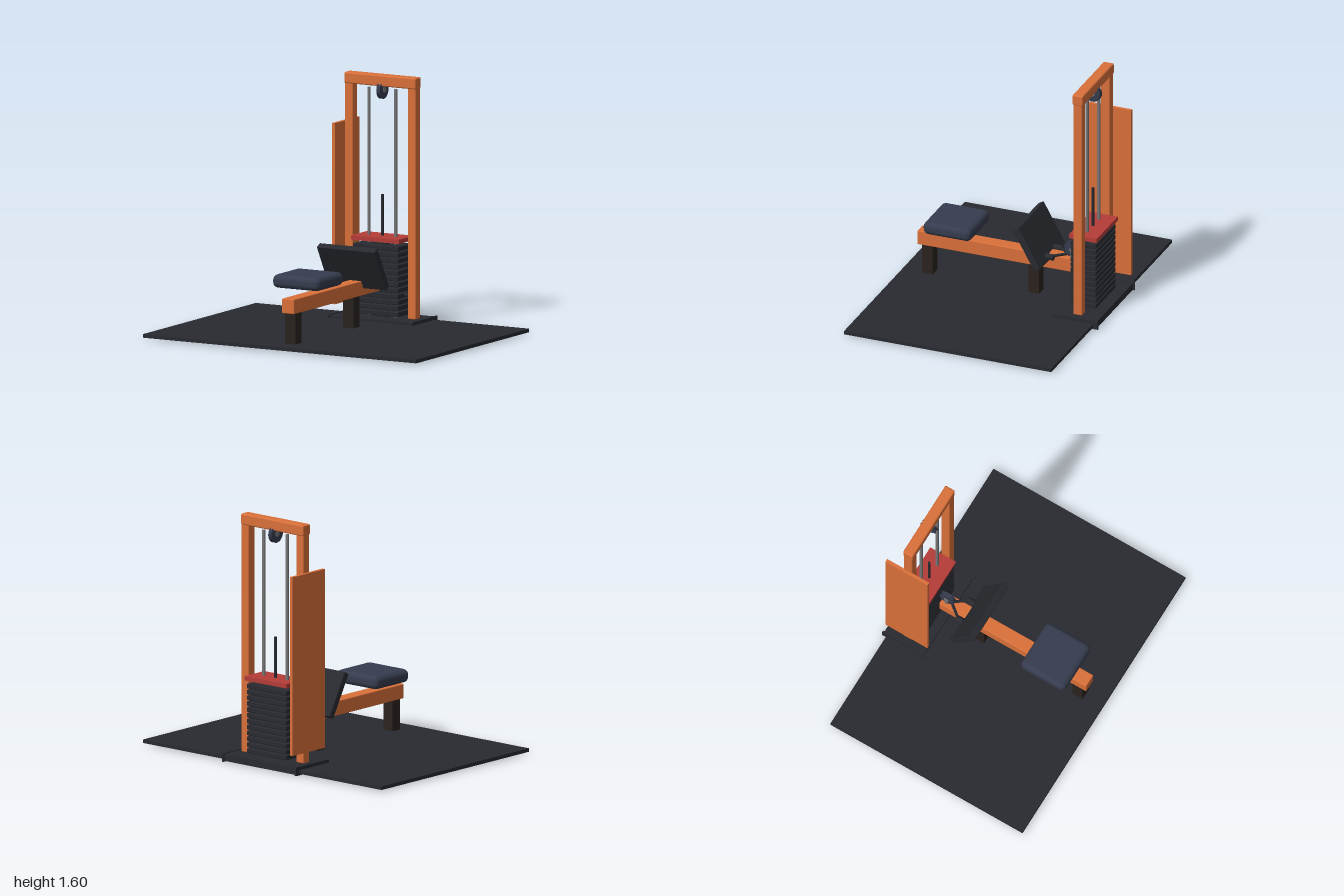
import * as THREE from 'three';
import { RoundedBoxGeometry } from 'three/addons/geometries/RoundedBoxGeometry.js';

const mat = (color) => new THREE.MeshStandardMaterial({ color });

export function createModel() {
  const model = new THREE.Group();
  const orange = mat(0xd9703a), black = mat(0x282a30), navy = mat(0x363c4e);
  const red = mat(0xb53c38), steel = mat(0x777777), dark = mat(0x2a221e);

  const add = (name, geometry, material, x, y, z, parent = model) => {
    const mesh = new THREE.Mesh(geometry, material);
    mesh.name = name;
    mesh.position.set(x, y, z);
    parent.add(mesh);
    return mesh;
  };
  // Box given by its extents on each axis, with optional rounded edges
  const box = (name, material, [x0, x1], [y0, y1], [z0, z1], r = 0) => {
    const size = [x1 - x0, y1 - y0, z1 - z0];
    const geometry = r ? new RoundedBoxGeometry(...size, 3, r) : new THREE.BoxGeometry(...size);
    return add(name, geometry, material, (x0 + x1) / 2, (y0 + y1) / 2, (z0 + z1) / 2);
  };
  // Round bar between two points
  const rod = (name, material, a, b, r) => {
    const p = new THREE.Vector3(...a), q = new THREE.Vector3(...b);
    const mid = p.clone().add(q).multiplyScalar(0.5);
    const mesh = add(name, new THREE.CylinderGeometry(r, r, p.distanceTo(q), 16), material, mid.x, mid.y, mid.z);
    mesh.quaternion.setFromUnitVectors(new THREE.Vector3(0, 1, 0), q.sub(p).normalize());
    return mesh;
  };
  // Grooved wheel turning on the x axis, with a hub
  const pulley = (name, y, z, r, w) => {
    const group = new THREE.Group();
    group.name = name;
    group.position.set(0, y, z);
    const profile = [[0, -w], [r * 0.85, -w], [r, -w * 0.75], [r * 0.8, 0], [r, w * 0.75], [r * 0.85, w], [0, w]]
      .map(([a, b]) => new THREE.Vector2(a, b));
    add('wheel', new THREE.LatheGeometry(profile, 28), navy, 0, 0, 0, group).rotation.z = Math.PI / 2;
    add('hub', new THREE.CylinderGeometry(r * 0.32, r * 0.32, w * 2.5, 16), steel, 0, 0, 0, group).rotation.z = Math.PI / 2;
    model.add(group);
  };

  // Floor mat and tower base
  box('floorMat', black, [-1, 1], [0.01, 0.033], [-0.692, 0.725]);
  box('towerBase', black, [-0.3, 0.3], [0.005, 0.05], [-0.715, -0.42]);
  for (const s of [-1, 1]) {
    box('baseEndPlate', black, [s * 0.305 - 0.006, s * 0.305 + 0.006], [0, 0.055], [-0.725, -0.408]);
    // Tower posts, guide rods
    box('towerPost', orange, [s * 0.23 - 0.03, s * 0.23 + 0.03], [0.05, 1.56], [-0.597, -0.535], 0.008);
    rod('guideRod', steel, [s * 0.098, 0.05, -0.565], [s * 0.098, 1.51, -0.565], 0.011);
  }
  box('topBeam', orange, [-0.262, 0.262], [1.525, 1.597], [-0.602, -0.53], 0.01);
  box('sidePanel', orange, [-0.279, -0.257], [0.125, 1.285], [-0.72, -0.41]);

  // Weight stack
  const pitch = 0.038;
  for (let i = 0; i < 12; i++) {
    const y = 0.067 + i * pitch;
    box('weightPlate', black, [-0.165, 0.165], [y, y + 0.031], [-0.652, -0.478], 0.005);
  }
  box('stackCore', black, [-0.05, 0.05], [0.05, 0.54], [-0.6, -0.53]);
  box('topWeightPlate', red, [-0.175, 0.175], [0.537, 0.565], [-0.662, -0.473]);
  rod('selectorRod', black, [0, 0.5, -0.565], [0, 0.83, -0.565], 0.009);
  rod('selectorPin', black, [0.15, 0.2, -0.565], [0.2, 0.2, -0.565], 0.01);

  // Pulleys and their mounts
  pulley('topPulley', 1.5, -0.565, 0.058, 0.015);
  box('topPulleyBracket', steel, [-0.018, 0.018], [1.49, 1.53], [-0.575, -0.555]);
  pulley('lowPulley', 0.375, -0.428, 0.056, 0.016);
  for (const s of [-1, 1])
    box('lowPulleyBracket', steel, [s * 0.021 - 0.003, s * 0.021 + 0.003], [0.32, 0.385], [-0.437, -0.419]);

  // Bench beam, legs and seat
  box('benchBeam', orange, [-0.045, 0.045], [0.23, 0.325], [-0.465, 0.62], 0.006);
  for (const z of [0.553, -0.175])
    box('benchLeg', dark, [-0.038, 0.038], [0.03, 0.235], [z - 0.037, z + 0.037]);
  box('seat', navy, [-0.173, 0.173], [0.37, 0.456], [0.205, 0.533], 0.035);

  // Tilted foot plate
  const plate = add('footPlate', new RoundedBoxGeometry(0.424, 0.305, 0.045, 3, 0.006), black, 0, 0.417, -0.196);
  plate.rotation.x = 0.51;

  // Pull handle with two straps
  for (const s of [-1, 1]) {
    rod('handleStrap', black, [0, 0.336, -0.4], [s * 0.07, 0.332, -0.31], 0.009);
    rod('handleGrip', black, [s * 0.07, 0.325, -0.325], [s * 0.07, 0.325, -0.27], 0.02);
  }
  rod('handleCable', black, [0, 0.336, -0.46], [0, 0.336, -0.39], 0.007);
  return model;
}
